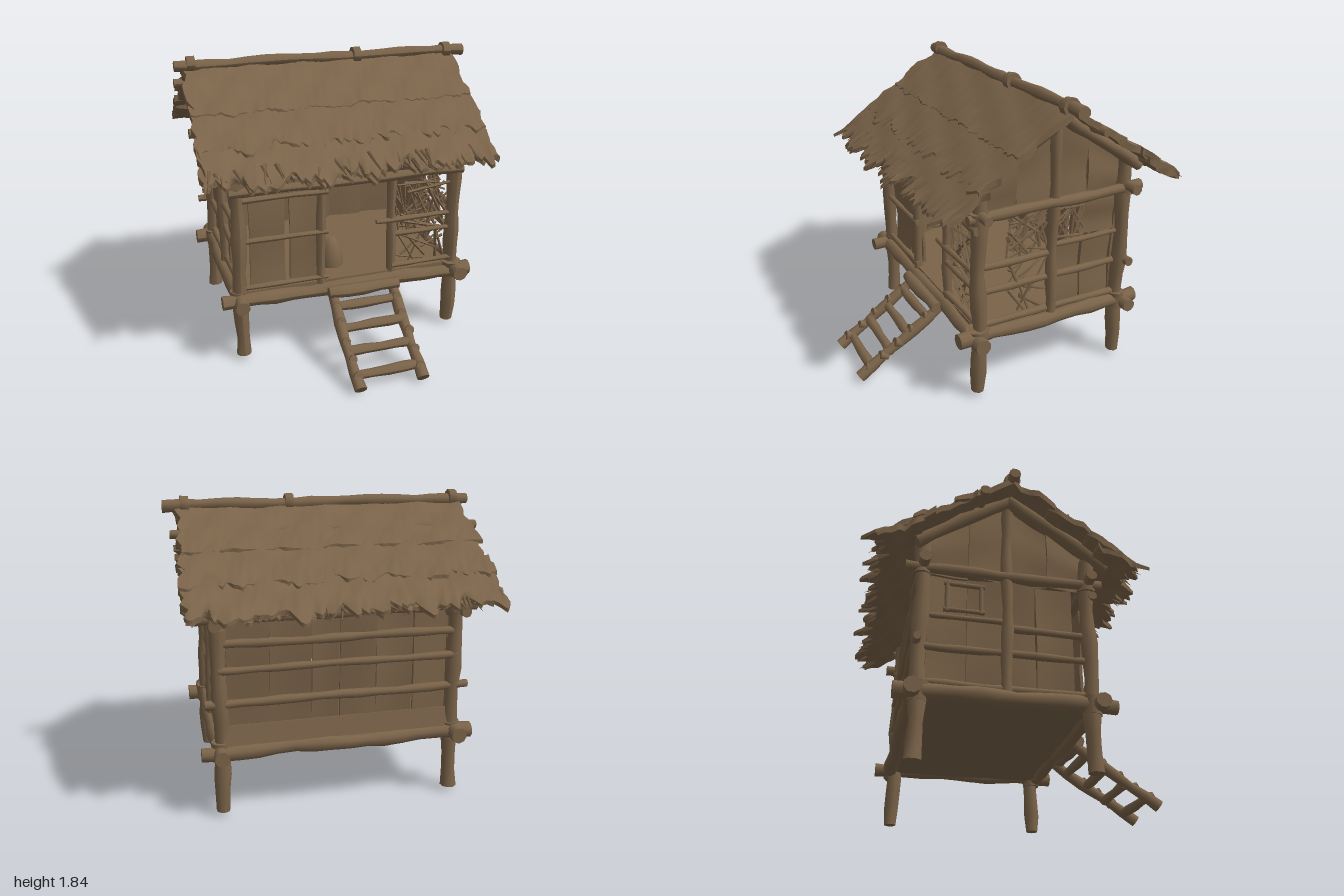
import * as THREE from 'three';

const wood = new THREE.MeshStandardMaterial({ color: 0x7a6349 });
wood.name = 'weathered wood';

export function createModel() {
  const root = new THREE.Group();
  root.name = 'stiltHut';
  let seed = 7;
  const rnd = () => (seed = (seed * 16807) % 2147483647) / 2147483647;
  const hash = (i, k) => { const s = Math.sin(i * 12.9898 + k * 78.233) * 43758.5453; return s - Math.floor(s); };
  const V = (x, y, z) => new THREE.Vector3(x, y, z);

  function group(name) {
    const g = new THREE.Group();
    g.name = name;
    root.add(g);
    return g;
  }
  function add(parent, name, geo) {
    const m = new THREE.Mesh(geo, wood);
    m.name = name;
    parent.add(m);
    return m;
  }
  function deform(geo, rule) {
    const p = geo.attributes.position, v = V(0, 0, 0);
    for (let i = 0; i < p.count; i++) {
      v.fromBufferAttribute(p, i);
      rule(v);
      p.setXYZ(i, v.x, v.y, v.z);
    }
    geo.computeVertexNormals();
    return geo;
  }

  // Rough round log between two points
  function log(parent, name, a, b, r, wob = 0.12, sides = 9) {
    const len = a.distanceTo(b), k = rnd() * 20;
    const geo = deform(new THREE.CylinderGeometry(r, r, len, sides, Math.max(2, Math.round(len * 9))), v => {
      const t = v.y * 11 + k;
      const s = 1 + wob * Math.sin(t * 1.3) + wob * 0.5 * Math.sin(t * 2.9 + v.x / r * 2);
      v.x = v.x * s + r * wob * Math.sin(t * 0.6);
      v.z = v.z * s + r * wob * Math.cos(t * 0.8);
    });
    const m = add(parent, name, geo);
    m.position.copy(a).add(b).multiplyScalar(0.5);
    m.quaternion.setFromUnitVectors(V(0, 1, 0), b.clone().sub(a).normalize());
    return m;
  }
  const logX = (p, n, x0, x1, y, z, r) => log(p, n, V(x0, y, z), V(x1, y, z), r);
  const logZ = (p, n, z0, z1, y, x, r) => log(p, n, V(x, y, z0), V(x, y, z1), r);
  const logY = (p, n, y0, y1, x, z, r) => log(p, n, V(x, y0, z), V(x, y1, z), r);

  // Warped upright boards, across x (axis 'x') or along z
  function boards(parent, name, axis, edges, y0, y1, at, top, gap = 0.03) {
    for (let i = 0; i + 1 < edges.length; i++) {
      const a = edges[i], b = edges[i + 1], k = rnd() * 9;
      const geo = deform(new THREE.BoxGeometry(b - a, y1 - y0, 0.018, 3, 6, 1), v => {
        const h = (v.y + (y1 - y0) / 2) / (y1 - y0), c = (a + b) / 2;
        v.z += 0.012 * Math.sin(v.x * 14 + k) + 0.008 * Math.sin(h * 7 + k);
        v.x = v.x * (1 - gap * Math.sin(h * Math.PI) * hash(i, k)) + c;
        v.y = y0 + h * ((top ? top(v.x) : y1) - y0);
        if (axis === 'x') v.z += at;
        else { const z = v.x; v.x = at + v.z; v.z = z; }
      });
      // swapping x and z mirrors the board, so turn its faces round
      if (axis === 'z') { geo.index.array.reverse(); geo.computeVertexNormals(); }
      add(parent, name, geo);
    }
  }

  // Loose woven sticks filling a rectangle
  function sticks(parent, count, at, u0, u1, y0, y1, side) {
    const cl = (v, lo, hi) => Math.min(hi, Math.max(lo, v));
    for (let i = 0; i < count; i++) {
      const u = u0 + rnd() * (u1 - u0), y = y0 + rnd() * (y1 - y0);
      const ang = rnd() * Math.PI, l = 0.08 + rnd() * 0.11;
      const p = [-l, l].map(d => {
        const uu = cl(u + Math.cos(ang) * d, u0, u1), yy = cl(y + Math.sin(ang) * d, y0, y1), o = at + (rnd() - 0.5) * 0.05;
        return side ? V(o, yy, uu) : V(uu, yy, o);
      });
      if (p[0].distanceTo(p[1]) > 0.03) log(parent, 'stick', p[0], p[1], 0.006 + rnd() * 0.005, 0.1, 4);
    }
  }

  const FZ = 0.36, BZ = -0.63, PX = 0.71, MZ = -0.13;

  // Stilts, floor and floor beams
  const base = group('platform');
  for (const x of [-PX, PX]) for (const z of [FZ, BZ]) {
    logY(base, 'cornerPost', 0.04, 1.38, x, z, 0.046);
    log(base, 'binding', V(x, 0.37, z), V(x, 0.48, z), 0.06, 0.15);
    log(base, 'binding', V(x, 1.16, z), V(x, 1.23, z), 0.052, 0.15);
  }
  const floor = add(base, 'floor', new THREE.BoxGeometry(1.42, 0.07, 1.02));
  floor.position.set(0, 0.44, -0.135);
  for (const z of [0.385, -0.655]) logX(base, 'floorBeam', -0.83, 0.83, 0.42, z, 0.045);
  for (const x of [-0.725, 0.725]) logZ(base, 'sideBeam', -0.76, 0.5, 0.43, x, 0.045);

  // Upper frame
  const frame = group('frame');
  for (const z of [FZ, BZ]) logX(frame, 'topPlate', -0.84, 0.84, 1.22, z, 0.032);
  for (const s of [-1, 1]) {
    logZ(frame, 'tieBeam', -0.73, 0.44, 1.2, s * 0.735, 0.032);
    logY(frame, 'kingPost', 0.44, 1.74, s * 0.715, MZ, 0.034);
    log(frame, 'rafter', V(s * 0.77, 1.725, MZ), V(s * 0.77, 1.32, 0.48), 0.038);
    log(frame, 'rafter', V(s * 0.77, 1.725, MZ), V(s * 0.77, 1.35, -0.68), 0.038);
  }
  logX(frame, 'frontLintel', -0.76, 0.75, 1.13, 0.385, 0.028);
  for (const x of [-0.19, 0.28]) logY(frame, 'doorPost', 0.44, 1.36, x, FZ, 0.03);

  // Front rails and screens
  const front = group('frontWall');
  for (const y of [1.075, 0.81, 0.5]) logX(front, 'leftRail', -0.68, -0.15, y, 0.375, 0.017);
  for (const y of [0.83, 0.73, 0.51]) logX(front, 'rightRail', y > 0.8 ? 0.17 : 0.28, 0.7, y, 0.375, 0.017);
  for (const edges of [[-0.64, -0.41], [-0.385, -0.21]]) boards(front, 'frontBoard', 'x', edges, 0.47, 1.08, 0.325);
  sticks(front, 38, 0.35, 0.31, 0.67, 0.72, 1.06, false);
  sticks(front, 10, 0.35, 0.31, 0.67, 0.5, 0.72, false);

  // Back wall with rails
  const back = group('backWall');
  for (const edges of [[-0.67, -0.45, -0.22, -0.004], [0.004, 0.17, 0.42, 0.67]])
    boards(back, 'backBoard', 'x', edges, 0.45, 1.4, -0.62, null, 0.06);
  logX(back, 'backRail', -0.8, 0.8, 0.72, -0.65, 0.026);
  logX(back, 'backRail', -0.72, 0.72, 0.92, -0.655, 0.022);
  logX(back, 'backRail', -0.72, 0.72, 1.07, -0.64, 0.026);
  const skirt = add(back, 'backSkirt', new THREE.BoxGeometry(1.4, 0.12, 0.02));
  skirt.position.set(0, 0.52, -0.65);
  skirt.rotation.x = 0.2;

  // Side walls: boarded on one side, half open on the other
  const sides = group('sideWalls');
  boards(sides, 'sideBoard', 'z', [-0.59, -0.36, -0.14, 0.04], 0.45, 1.18, -0.68);
  boards(sides, 'sideBoard', 'z', [0.05, 0.27], 0.45, 1.18, -0.68);
  boards(sides, 'sideBoard', 'z', [-0.57, -0.35, -0.15], 0.45, 0.92, 0.68);
  boards(sides, 'shutter', 'z', [-0.59, -0.36], 0.92, 1.18, 0.66);
  for (const x of [-0.705, 0.705]) {
    logZ(sides, 'sideRail', -0.62, 0.36, 0.71, x, 0.022);
    logZ(sides, 'sideRail', MZ, 0.38, 0.87, x, 0.022);
    logZ(sides, 'sideRail', -0.64, MZ, 0.91, x, 0.016);
    logZ(sides, 'lowerRail', -0.6, 0.34, 0.49, x, 0.022);
  }
  sticks(sides, 34, 0.69, -0.1, 0.16, 0.86, 1.17, true);
  sticks(sides, 12, 0.69, -0.1, 0.16, 0.5, 0.86, true);
  sticks(sides, 18, 0.69, -0.36, -0.15, 0.92, 1.17, true);
  for (const y of [0.96, 1.13]) logZ(sides, 'windowFrame', -0.5, -0.26, y, -0.7, 0.014);
  for (const z of [-0.48, -0.28]) logY(sides, 'windowFrame', 0.95, 1.14, -0.7, z, 0.014);

  // Gable boards under the roof slope
  const slope = z => 1.72 - 0.63 * Math.abs(z - MZ);
  for (const x of [-0.69, 0.69])
    boards(sides, 'gableBoard', 'z', [-0.6, -0.36, MZ, 0.12, 0.38], 1.18, 1.7, x, slope, 0.01);

  // Sacks standing on the floor inside the doorway
  for (const [x, r, h] of [[-0.11, 0.1, 0.26], [-0.06, 0.085, 0.19]]) {
    const s = add(root, 'sack', new THREE.SphereGeometry(1, 14, 8, 0, Math.PI * 2, 0, Math.PI / 2));
    s.scale.set(r, h, 0.1);
    s.position.set(x, 0.475, 0.2 + x);
  }

  // Ladder with notched-looking rails
  const ladder = group('ladder');
  for (const x of [-0.14, 0.265]) {
    log(ladder, 'ladderRail', V(x, 0.4, 0.42), V(x, 0.038, 0.965), 0.034, 0.15);
    for (let i = 0; i < 5; i++) log(ladder, 'railKnot', V(x, 0.1 + i * 0.066, 0.93 - i * 0.1), V(x, 0.08 + i * 0.066, 0.88 - i * 0.1), 0.028);
  }
  for (const y of [0.09, 0.175, 0.26, 0.345]) logX(ladder, 'rung', -0.14, 0.27, y, 0.42 + (0.4 - y) * 1.5, 0.03);
  logX(ladder, 'threshold', -0.17, 0.3, 0.42, 0.45, 0.04);

  // Thatch: overlapping ragged layers on each slope
  const roof = group('roof');
  function thatch(dir, s0, s1, lift, ragged, k) {
    const eave = dir > 0 ? 0.64 : -0.92, nx = 84;
    const drop = dir > 0 ? 0.5 : 0.475;
    const geo = deform(new THREE.BoxGeometry(1, 1, 1, nx, 1, 7), v => {
      const col = Math.round((v.x + 0.5) * nx), row = Math.round((v.z + 0.5) * 7);
      const q = dir > 0 ? row / 7 : 1 - row / 7;
      const edge = Math.pow(q, 5);
      const rag = ragged * edge * ((hash(col, k) - 0.5) * 0.085 + 0.022 * Math.sin(col * 0.37 + k) + 0.02 * Math.sin(col * 0.93 + k));
      const s = s0 + (s1 - s0) * q;
      const end = col === 0 || col === nx ? (hash(row, k + col) - 0.5) * 0.05 : 0;
      const x = v.x * 1.79 - 0.015 + end - dir * 0.02 * s * (v.x > 0 ? 1 : 0.5);
      const bump = 0.006 * Math.sin(col * 0.45 + row + k) + 0.005 * Math.sin(col * 0.21 - row * 1.4) + (hash(col + row * 91, k) - 0.5) * 0.006 * (1 + 3 * edge * ragged);
      const z = MZ + (eave - MZ) * s + dir * rag;
      const y = 1.79 - drop * s - 0.55 * rag + lift + bump + (v.y > 0 ? 0 : -0.042 + 0.02 * edge);
      v.set(x, y, z);
    });
    add(roof, dir > 0 ? 'frontThatch' : 'backThatch', geo);
  }
  for (const d of [1, -1]) {
    thatch(d, 0, 0.45, 0, 0.2, 3 + d);
    thatch(d, 0.28, 0.74, -0.008, 0.6, 8 + d);
    thatch(d, 0.58, 1, -0.016, 1, 14 + d);
    thatch(d, 0.66, 0.965, -0.045, 1, 21 + d);
    // Loose straws along the eaves
    for (let i = 0; i < 30; i++) {
      const x = -0.9 + 1.78 * rnd(), e = d > 0 ? 0.6 : -0.88, l = 0.05 + rnd() * 0.035;
      const straw = add(roof, 'straw', new THREE.ConeGeometry(0.016, l * 2, 4));
      straw.position.set(x, 1.28 + rnd() * 0.03, e);
      straw.quaternion.setFromUnitVectors(V(0, 1, 0), V((rnd() - 0.5) * 0.7, -0.7 + rnd() * 0.3, d).normalize());
    }
  }

  // Ridge log, purlin and ridge bindings
  logX(roof, 'ridgeLog', -0.96, 0.96, 1.79, MZ, 0.035);
  logX(roof, 'purlin', -0.95, 0.93, 1.645, -0.31, 0.028);
  for (const x of [-0.86, 0.2, 0.83]) logX(roof, 'ridgeBinding', x - 0.025, x + 0.025, 1.795, MZ, 0.048);

  return root;
}
